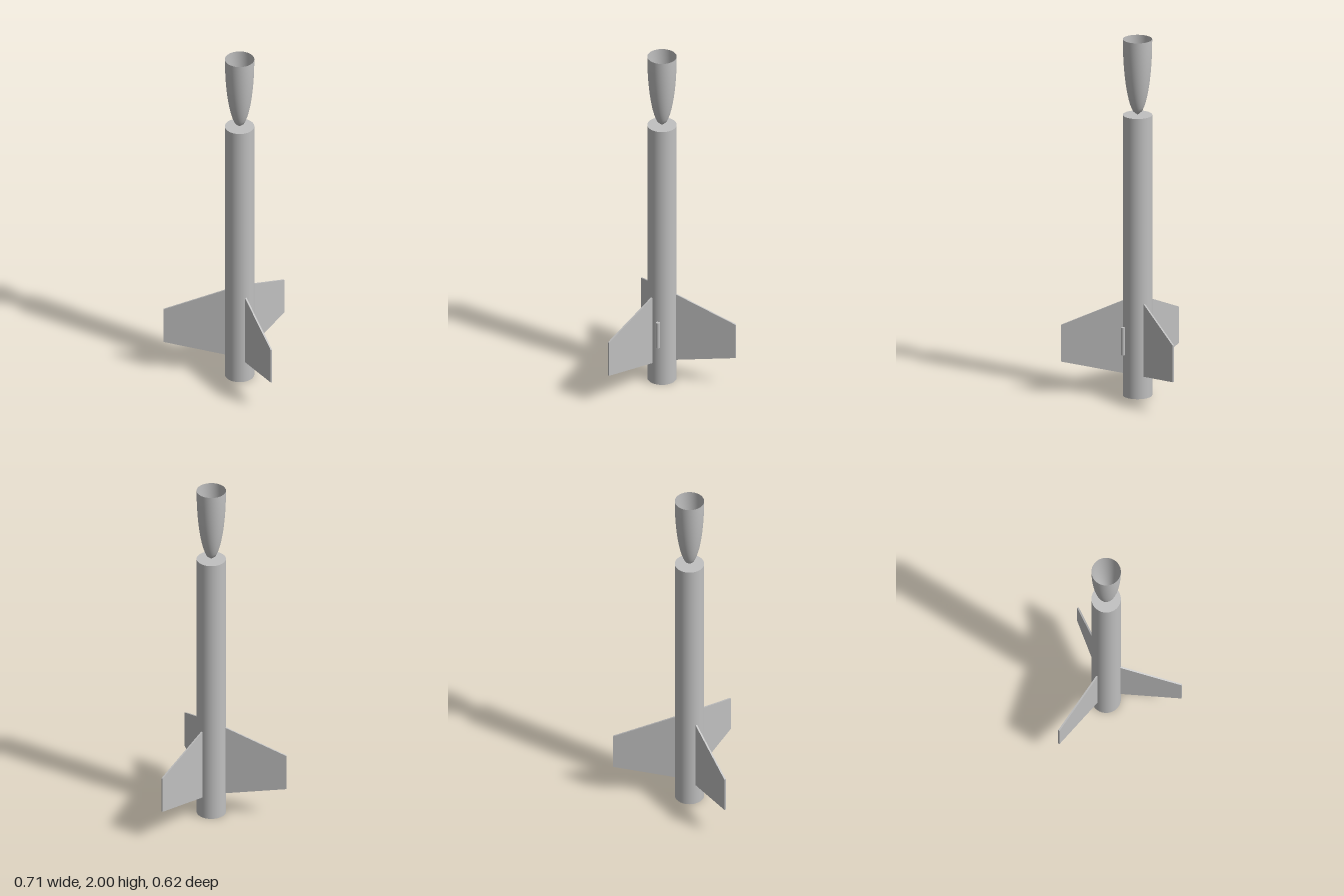
import * as THREE from 'three';

const R = 0.079;          // body radius
const BODY_TOP = 1.575;   // top of the tube, where the nose tip rests
const AXIS_Z = 0.1;       // body axis offset so the whole is centred

export function createModel() {
  const model = new THREE.Group();
  model.name = 'rocket';
  const grey = new THREE.MeshStandardMaterial({ color: 0xc0c0c0, side: THREE.DoubleSide });
  grey.name = 'light grey';

  const add = (name, geometry, x, y, z) => {
    const mesh = new THREE.Mesh(geometry, grey);
    mesh.name = name;
    mesh.position.set(x, y, z);
    model.add(mesh);
    return mesh;
  };

  // Body tube
  add('bodyTube', new THREE.CylinderGeometry(R, R, BODY_TOP, 64), 0, BODY_TOP / 2, AXIS_Z);

  // Hollow elliptical nose cone, tip down and open at the top
  const profile = [];
  for (let i = 0; i <= 20; i++) {
    const t = i / 20;
    profile.push(new THREE.Vector2(R * Math.sqrt(1 - (1 - t) ** 2), t * (2 - BODY_TOP)));
  }
  add('noseCone', new THREE.LatheGeometry(profile, 64), 0, BODY_TOP, AXIS_Z);

  // Three swept fins around the tube
  const thickness = 0.009;
  const outline = new THREE.Shape([
    [R - 0.002, 0.124], [0.41, 0.184], [0.41, 0.39], [R - 0.002, 0.532],
  ].map(([x, y]) => new THREE.Vector2(x, y)));
  const finGeometry = new THREE.ExtrudeGeometry(outline, { depth: thickness, bevelEnabled: false });
  finGeometry.translate(0, 0, -thickness / 2);
  ['backFin', 'rightFin', 'leftFin'].forEach((name, i) => {
    add(name, finGeometry, 0, 0, AXIS_Z).rotation.y = Math.PI / 2 + i * Math.PI * 2 / 3;
  });

  // Launch lug on the left side of the tube
  add('launchLug', new THREE.CylinderGeometry(0.011, 0.011, 0.154, 24), R + 0.009, 0.315, AXIS_Z);

  return model;
}
